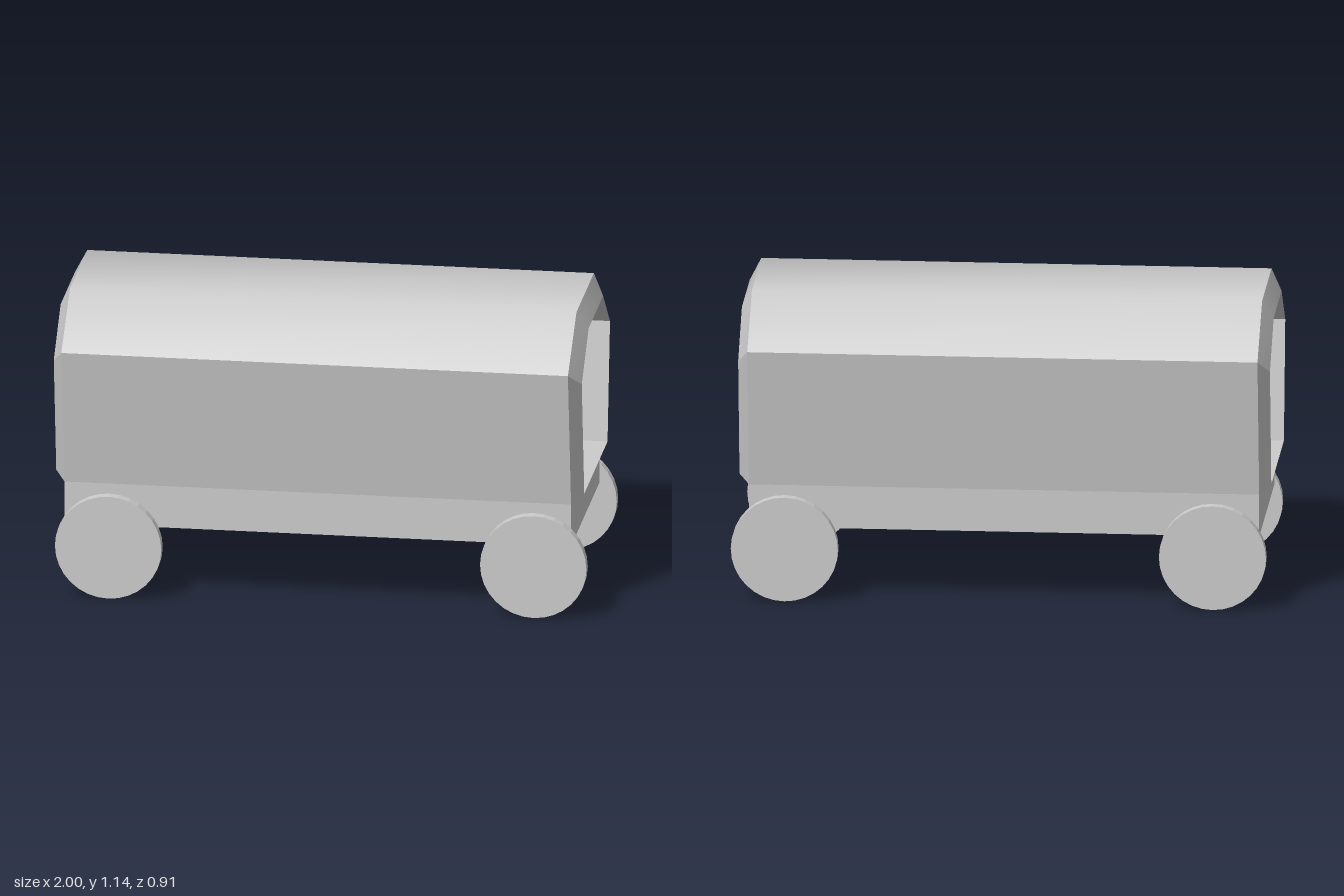
import * as THREE from 'three';
import { toCreasedNormals } from 'three/addons/utils/BufferGeometryUtils.js';

const material = new THREE.MeshStandardMaterial({ color: 0xcccccc });
const flatMaterial = new THREE.MeshStandardMaterial({ color: 0xcccccc, flatShading: true });

// Mirrored cover cross-section as [z, y], from the left foot over the top to the right foot
const section = (half) => [...half, ...half.map(([z, y]) => [-z, y]).reverse()];
const OUTER = section([[0.37, 0.435], [0.453, 0.965], [0.228, 1.14]]);
const INNER = section([[0.305, 0.458], [0.37, 0.907], [0.19, 1.066]]);

// Rings go along the outside, round the sloped rim, back through the inside and round the other rim
const RINGS = [[-0.96, OUTER], [0.935, OUTER], [0.975, INNER], [-1.0, INNER], [-0.96, OUTER]]
  .map(([x, points]) => points.map(([z, y]) => [x, y, z]));

// Panel of the cover made of the given sides of the cross-section
function coverPanel(name, sides) {
  const positions = [];
  for (const i of sides) {
    const j = (i + 1) % OUTER.length;
    for (let k = 0; k < RINGS.length - 1; k++) {
      const a = RINGS[k][i], b = RINGS[k + 1][i], c = RINGS[k + 1][j], d = RINGS[k][j];
      positions.push(...a, ...b, ...c, ...a, ...c, ...d);
    }
  }
  const geometry = new THREE.BufferGeometry();
  geometry.setAttribute('position', new THREE.Float32BufferAttribute(positions, 3));
  return part(name, toCreasedNormals(geometry, 0.8), material);
}

function part(name, geometry, mat) {
  const mesh = new THREE.Mesh(geometry, mat);
  mesh.name = name;
  return mesh;
}

export function createModel() {
  const model = new THREE.Group();
  model.name = 'coveredWagon';

  // Cover: open tunnel with a softly rounded roof
  const cover = new THREE.Group();
  cover.name = 'cover';
  cover.add(
    coverPanel('leftWall', [0]),
    coverPanel('roof', [1, 2, 3]),
    coverPanel('rightWall', [4]),
    coverPanel('floor', [5])
  );
  model.add(cover);

  // Wagon bed
  const bed = part('bed', new THREE.BoxGeometry(1.895, 0.162, 0.74), material);
  bed.position.set(-0.0125, 0.354, 0);
  model.add(bed);

  // Wheels
  const wheelGeometry = new THREE.CylinderGeometry(0.199, 0.199, 0.038, 32).rotateX(Math.PI / 2);
  for (const x of [-0.79, 0.8]) {
    for (const side of [1, -1]) {
      const wheel = part('wheel', wheelGeometry, flatMaterial);
      wheel.position.set(x, 0.2, side * 0.398);
      model.add(wheel);
    }
  }
  return model;
}
